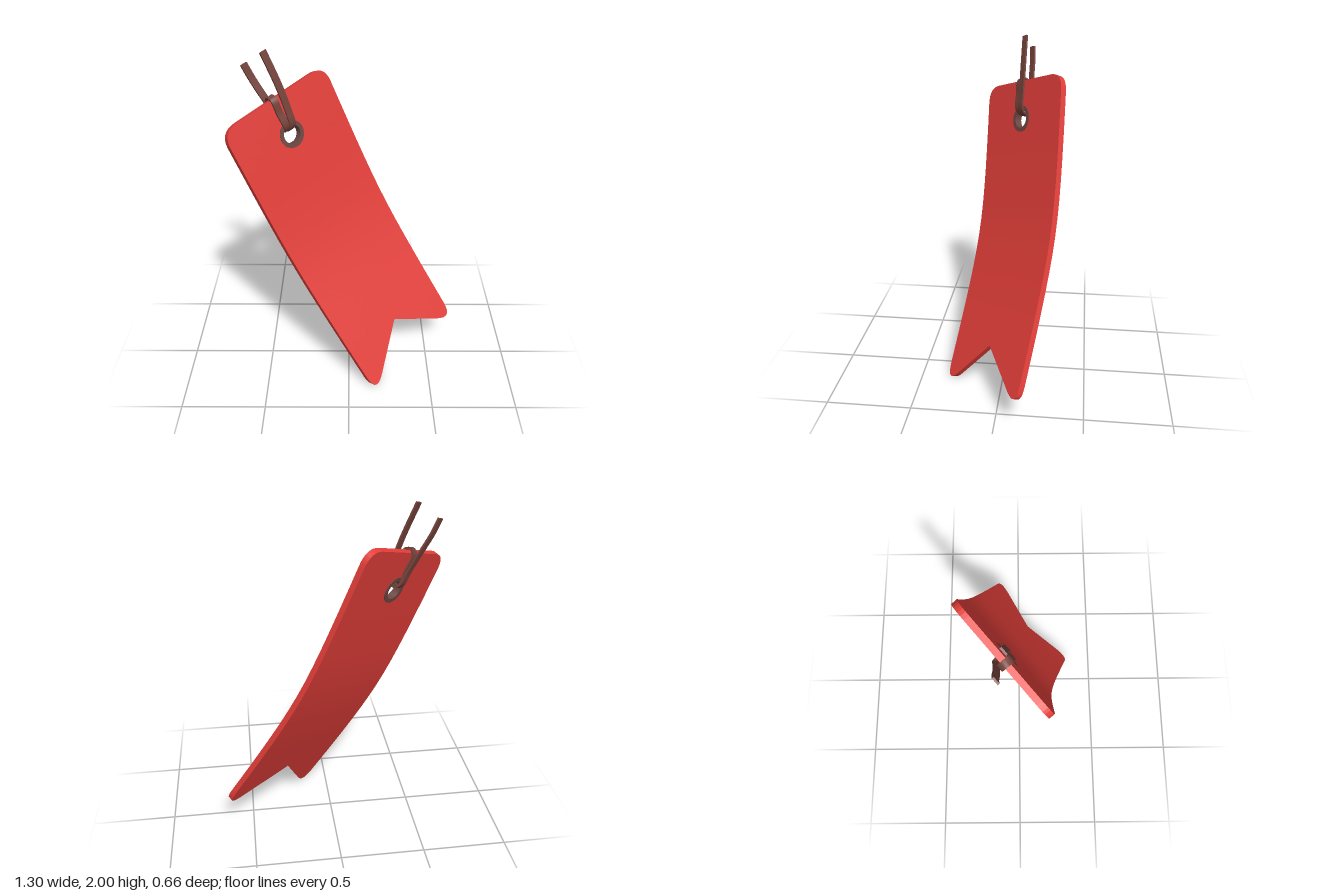
import * as THREE from 'three';
import { toCreasedNormals } from 'three/addons/utils/BufferGeometryUtils.js';

const WIDTH = 0.728, THICK = 0.035, HOLE_X = 0.361, HOLE_Y = -0.225;

// Lengthwise bend of the tag, nearly straight at both ends: depth and slope at height y (top edge is y = 0)
const BEND = 0.122, MIDDLE = 0.9, SOFT = 0.35;
const bend = (y) => BEND * (Math.hypot(y + MIDDLE, SOFT) - Math.hypot(MIDDLE, SOFT));
const slope = (y) => (BEND * (y + MIDDLE)) / Math.hypot(y + MIDDLE, SOFT);

// Closed outline with softened corners; each corner is [x, y, cut]
function roundedShape(corners) {
  const shape = new THREE.Shape();
  corners.forEach(([x, y, cut], i) => {
    const p = new THREE.Vector2(x, y);
    const toward = (c) => new THREE.Vector2(c[0], c[1]).sub(p).setLength(cut).add(p);
    const a = toward(corners.at(i - 1));
    const b = toward(corners[(i + 1) % corners.length]);
    if (i === 0) shape.moveTo(a.x, a.y);
    else shape.lineTo(a.x, a.y);
    if (cut > 0) shape.quadraticCurveTo(p.x, p.y, b.x, b.y);
  });
  shape.closePath();
  return shape;
}

// Split every triangle in four so that a flat sheet can bend
function subdivide(values) {
  const out = [];
  for (let i = 0; i < values.length; i += 9) {
    const [a, b, c] = [0, 3, 6].map((k) => Array.from(values.slice(i + k, i + k + 3)));
    const mid = (p, q) => p.map((v, k) => (v + q[k]) / 2);
    const ab = mid(a, b), bc = mid(b, c), ca = mid(c, a);
    for (const p of [a, ab, ca, ab, b, bc, ca, bc, c, ab, bc, ca]) out.push(p[0], p[1], p[2]);
  }
  return out;
}

function tagGeometry() {
  const shape = roundedShape([
    [0, 0, 0.1],
    [0, -1.882, 0.13],
    [WIDTH / 2, -1.584, 0],
    [WIDTH, -1.868, 0.13],
    [WIDTH, 0, 0.1],
  ]);
  const hole = new THREE.Path();
  hole.absarc(HOLE_X, HOLE_Y, 0.064, 0, Math.PI * 2, true);
  shape.holes.push(hole);
  const flat = new THREE.ExtrudeGeometry(shape, { depth: THICK, bevelEnabled: false, curveSegments: 8 });
  let pos = flat.attributes.position.array, nor = flat.attributes.normal.array;
  for (let i = 0; i < 4; i++) {
    pos = subdivide(pos);
    nor = subdivide(nor);
  }
  const n = new THREE.Vector3();
  for (let i = 0; i < pos.length; i += 3) {
    const y = pos[i + 1];
    pos[i + 2] += bend(y) - THICK;
    n.fromArray(nor, i);
    n.y -= slope(y) * n.z;
    n.normalize().toArray(nor, i);
  }
  const geo = new THREE.BufferGeometry();
  geo.setAttribute('position', new THREE.Float32BufferAttribute(pos, 3));
  geo.setAttribute('normal', new THREE.Float32BufferAttribute(nor, 3));
  return geo;
}

// Flat strap of rectangular section swept along a path, its width lying along x
function strapGeometry(points, closed = false, width = 0.041, thick = 0.011) {
  const curve = new THREE.CatmullRomCurve3(points.map((p) => new THREE.Vector3(...p)), closed, 'centripetal');
  const steps = 40, pos = [], index = [];
  const across = new THREE.Vector3(1, 0, 0);
  for (let i = 0; i <= steps; i++) {
    const c = curve.getPointAt(i / steps), t = curve.getTangentAt(i / steps);
    const out = t.clone().cross(across).normalize();
    for (const [a, b] of [[-1, -1], [1, -1], [1, 1], [-1, 1]]) {
      const v = c.clone().addScaledVector(across, (a * width) / 2).addScaledVector(out, (b * thick) / 2);
      pos.push(v.x, v.y, v.z);
    }
    if (i === steps) continue;
    for (let k = 0; k < 4; k++) {
      const a = i * 4 + k, b = i * 4 + ((k + 1) % 4);
      index.push(a, b, a + 4, b, b + 4, a + 4);
    }
  }
  const e = steps * 4;
  if (!closed) index.push(0, 2, 1, 0, 3, 2, e, e + 1, e + 2, e, e + 2, e + 3);
  const geo = new THREE.BufferGeometry();
  geo.setAttribute('position', new THREE.Float32BufferAttribute(pos, 3));
  geo.setIndex(index);
  return toCreasedNormals(geo, 0.6);
}

export function createModel() {
  const red = new THREE.MeshStandardMaterial({ color: 0xe23e39 });
  red.name = 'tag red';
  const brown = new THREE.MeshStandardMaterial({ color: 0x74413a });
  brown.name = 'strap brown';
  const dark = new THREE.MeshStandardMaterial({ color: 0x6c4641 });
  dark.name = 'eyelet brown';

  const model = new THREE.Group();
  model.name = 'hangingTag';
  const tilted = new THREE.Group();
  tilted.name = 'tiltedTag';
  model.add(tilted);
  const add = (name, geo, mat) => {
    const mesh = new THREE.Mesh(geo, mat);
    mesh.name = name;
    tilted.add(mesh);
    return mesh;
  };

  // Swallow-tailed tag
  add('tagBody', tagGeometry(), red);

  // Eyelet ring around the hole
  const profile = [[0.054, -0.021], [0.078, -0.021], [0.078, 0.021], [0.054, 0.021], [0.054, -0.021]];
  const ring = new THREE.LatheGeometry(profile.map((p) => new THREE.Vector2(...p)), 32).rotateX(Math.PI / 2);
  const eyelet = add('eyelet', toCreasedNormals(ring, 0.6), dark);
  eyelet.position.set(HOLE_X, HOLE_Y, bend(HOLE_Y) - THICK / 2);
  eyelet.rotation.x = Math.atan(slope(HOLE_Y));

  // Strap: loop over the top edge, plus one loose end on each side
  add('strapLoop', strapGeometry([
    [0.357, -0.198, -0.04], [0.346, -0.172, -0.004], [0.342, -0.08, 0.006], [0.345, -0.005, 0.013],
    [0.345, 0.016, -0.015], [0.345, -0.005, -0.049], [0.352, -0.1, -0.062], [0.357, -0.175, -0.076],
  ], true), brown);
  add('frontStrapEnd', strapGeometry([
    [0.403, 0.25, 0.058], [0.4, 0.05, 0.038], [0.39, -0.09, 0.018], [0.381, -0.172, 0.003],
    [0.375, -0.199, -0.022], [0.37, -0.192, -0.062],
  ]), brown);
  add('backStrapEnd', strapGeometry([
    [0.325, 0.231, -0.058], [0.332, 0.14, -0.069], [0.342, 0.03, -0.072], [0.358, -0.09, -0.079],
    [0.368, -0.172, -0.086], [0.372, -0.199, -0.064], [0.372, -0.196, -0.026],
  ]), brown);

  // Lean of the whole tag
  const up = new THREE.Vector3(-0.443, 0.893, -0.092).normalize();
  const out = new THREE.Vector3(0.714, 0.275, -0.645).cross(up).normalize();
  const side = up.clone().cross(out);
  tilted.quaternion.setFromRotationMatrix(new THREE.Matrix4().makeBasis(side, up, out));
  tilted.position.set(-0.66, 1.634, 0.17);
  return model;
}
